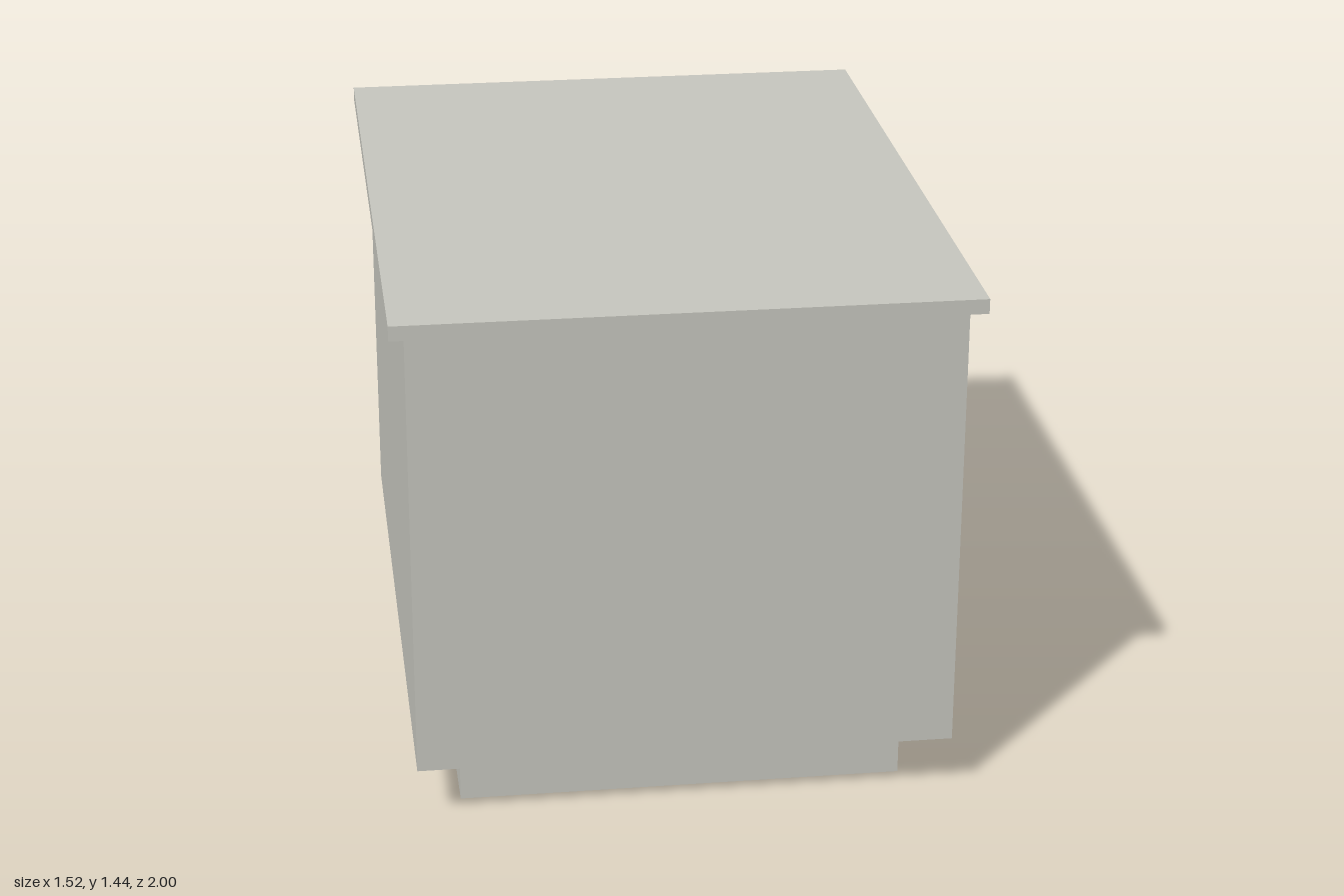
import * as THREE from 'three';

const paint = new THREE.MeshStandardMaterial({ color: 0xc8c8c0, side: THREE.DoubleSide });
paint.name = 'pale grey';

// Thin skin through rectangular rings [halfWidth, y, halfDepth], listed from bottom to top
function shell(name, rings, capped = false) {
  const corners = rings.map(([w, y, d]) => [[w, y, d], [w, y, -d], [-w, y, -d], [-w, y, d]]);
  const points = [];
  const quad = (a, b, c, d) => points.push(...a, ...b, ...c, ...a, ...c, ...d);
  for (let r = 0; r < corners.length - 1; r++) {
    for (let i = 0; i < 4; i++) {
      const j = (i + 1) % 4;
      quad(corners[r][i], corners[r][j], corners[r + 1][j], corners[r + 1][i]);
    }
  }
  if (capped) quad(...corners[corners.length - 1]);
  const geometry = new THREE.BufferGeometry();
  geometry.setAttribute('position', new THREE.Float32BufferAttribute(points, 3));
  geometry.computeVertexNormals();
  const mesh = new THREE.Mesh(geometry, paint);
  mesh.name = name;
  return mesh;
}

export function createModel() {
  const group = new THREE.Group();
  group.name = 'cabinet';
  group.add(
    // recessed plinth, open underneath
    shell('plinth', [[0.6, 0, 0.84], [0.6, 0.16, 0.84]]),
    // hollow body with an underside rim around the plinth
    shell('body', [[0.6, 0.16, 0.84], [0.72, 0.16, 0.96], [0.72, 1.4, 0.96]]),
    // overhanging top slab
    shell('top', [[0.72, 1.4, 0.96], [0.76, 1.4, 1], [0.76, 1.44, 1]], true),
  );
  return group;
}
